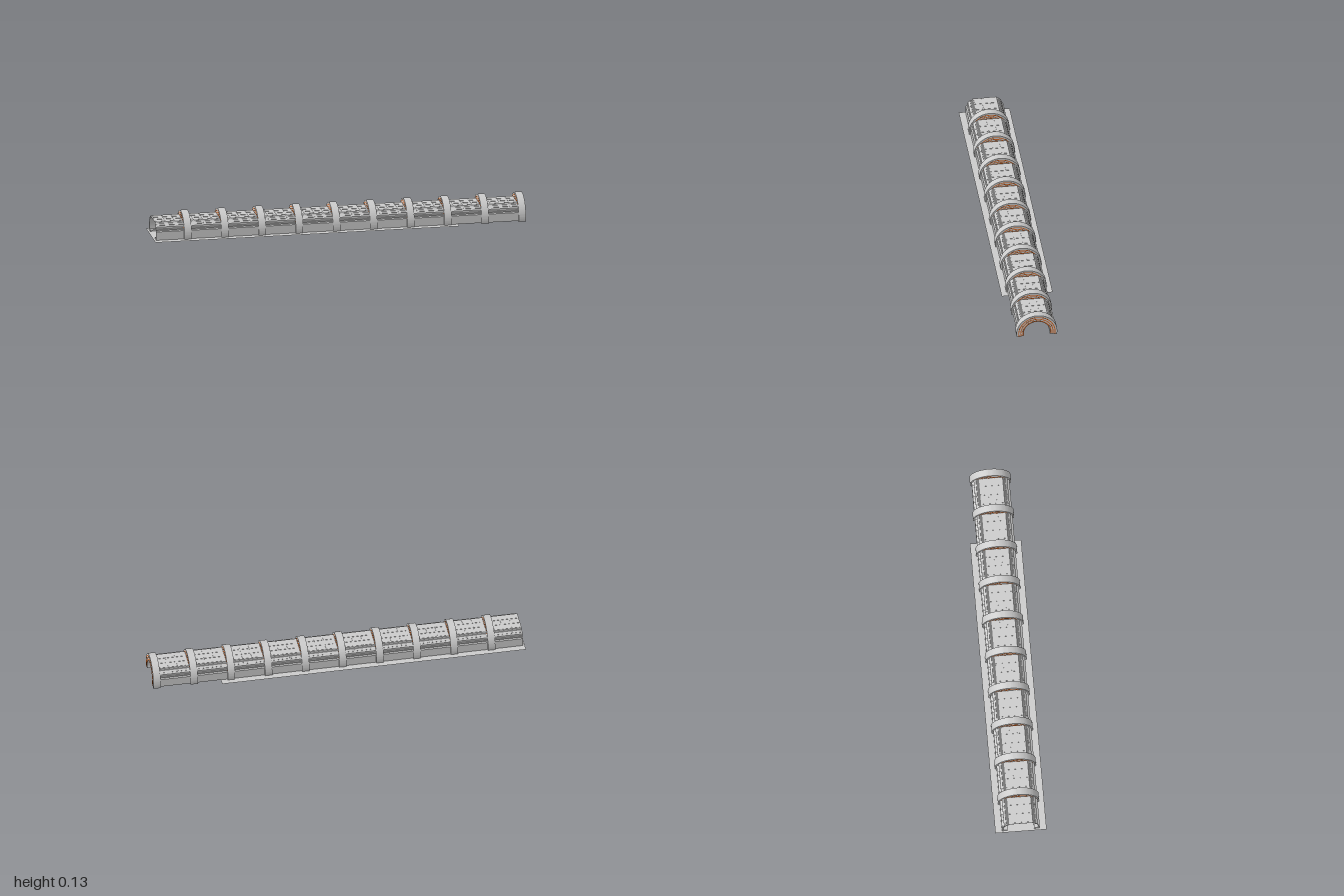
import * as THREE from 'three';
import { toCreasedNormals } from 'three/addons/utils/BufferGeometryUtils.js';

const grey = new THREE.MeshStandardMaterial({ color: 0xcccccc, side: THREE.DoubleSide });
const orange = new THREE.MeshStandardMaterial({ color: 0xd9661f });
const CENTRE_Y = 0.023, SWEEP = 0.2; // arch centre height, angle the arch runs below horizontal

// Extrude a (z, y) outline along x, centred on x = 0
function alongX(shape, length) {
  const geo = new THREE.ExtrudeGeometry(shape, { depth: length, bevelEnabled: false, curveSegments: 40 });
  geo.translate(0, 0, -length / 2);
  geo.rotateY(Math.PI / 2);
  return toCreasedNormals(geo, 0.4);
}

function archGeometry(inner, outer, length) {
  const s = new THREE.Shape();
  s.absarc(0, CENTRE_Y, outer, -SWEEP, Math.PI + SWEEP, false);
  s.absarc(0, CENTRE_Y, inner, Math.PI + SWEEP, -SWEEP, true);
  s.closePath();
  return alongX(s, length);
}

// Mirrored thin-walled tunnel section: stepped outside, plain inside
function shellGeometry(length) {
  const outer = [[0.1, 0.005], [0.1, 0.051], [0.093, 0.055], [0.093, 0.061], [0.089, 0.064],
    [0.089, 0.074], [0.083, 0.08], [0.072, 0.089], [0.067, 0.089], [0.064, 0.0955]];
  const inner = [[0.06, 0.0935], [0.066, 0.086], [0.084, 0.068], [0.092, 0.048], [0.092, 0.015],
    [0.07, 0.014], [0.07, 0.006]];
  const flip = (list) => list.map(([z, y]) => [-z, y]).reverse();
  const outline = [...outer, ...flip(outer), ...flip(inner), ...inner];
  return alongX(new THREE.Shape(outline.map(([z, y]) => new THREE.Vector2(z, y))), length);
}

function add(parent, geometry, material, name, x = 0, y = 0, z = 0) {
  const mesh = new THREE.Mesh(geometry, material);
  mesh.name = name;
  mesh.position.set(x, y, z);
  parent.add(mesh);
  return mesh;
}

export function createModel() {
  const model = new THREE.Group();
  model.name = 'tunnel';

  // Thin floor under most of the length
  const floor = new THREE.PlaneGeometry(1.635, 0.272).rotateX(-Math.PI / 2);
  add(model, floor, grey, 'floor', -0.1825, 0.004, 0);

  const ribGeo = archGeometry(0.07, 0.109, 0.039);
  const stripGeos = [0.075, 0.086, 0.097].map((r) => archGeometry(r - 0.0022, r + 0.0022, 0.04));
  const shellGeo = shellGeometry(0.17);
  const plateGeo = new THREE.BoxGeometry(0.044, 0.003, 0.036);
  const railGeo = new THREE.BoxGeometry(0.044, 0.006, 0.008);

  for (let i = 0; i < 10; i++) {
    const bay = new THREE.Group();
    bay.name = 'bay' + (i + 1);
    bay.position.x = -0.91 + 0.2 * i;
    model.add(bay);

    // Wall and roof section
    const shell = add(bay, shellGeo, grey, 'shell', 0.005);
    if (i > 0) shell.scale.x = 1.15;

    // Raised roof plates and shoulder blocks
    for (let col = -1; col <= 1; col++) {
      const x = col * 0.05 - 0.001;
      for (let row = -1; row <= 1; row++) {
        add(bay, plateGeo, grey, 'roofPlate', x, 0.0955, row * 0.041);
      }
      for (const side of [-1, 1]) {
        const rail = add(bay, railGeo, grey, 'shoulderBlock', x, 0.083, side * 0.079);
        rail.rotation.x = side * 0.69;
      }
    }

    // Arched rib with glowing strips on both faces
    const rib = new THREE.Group();
    rib.name = 'rib';
    rib.position.x = 0.09;
    bay.add(rib);
    add(rib, ribGeo, grey, 'ribArch');
    for (const geo of stripGeos) add(rib, geo, orange, 'ribStrip');
  }
  return model;
}
